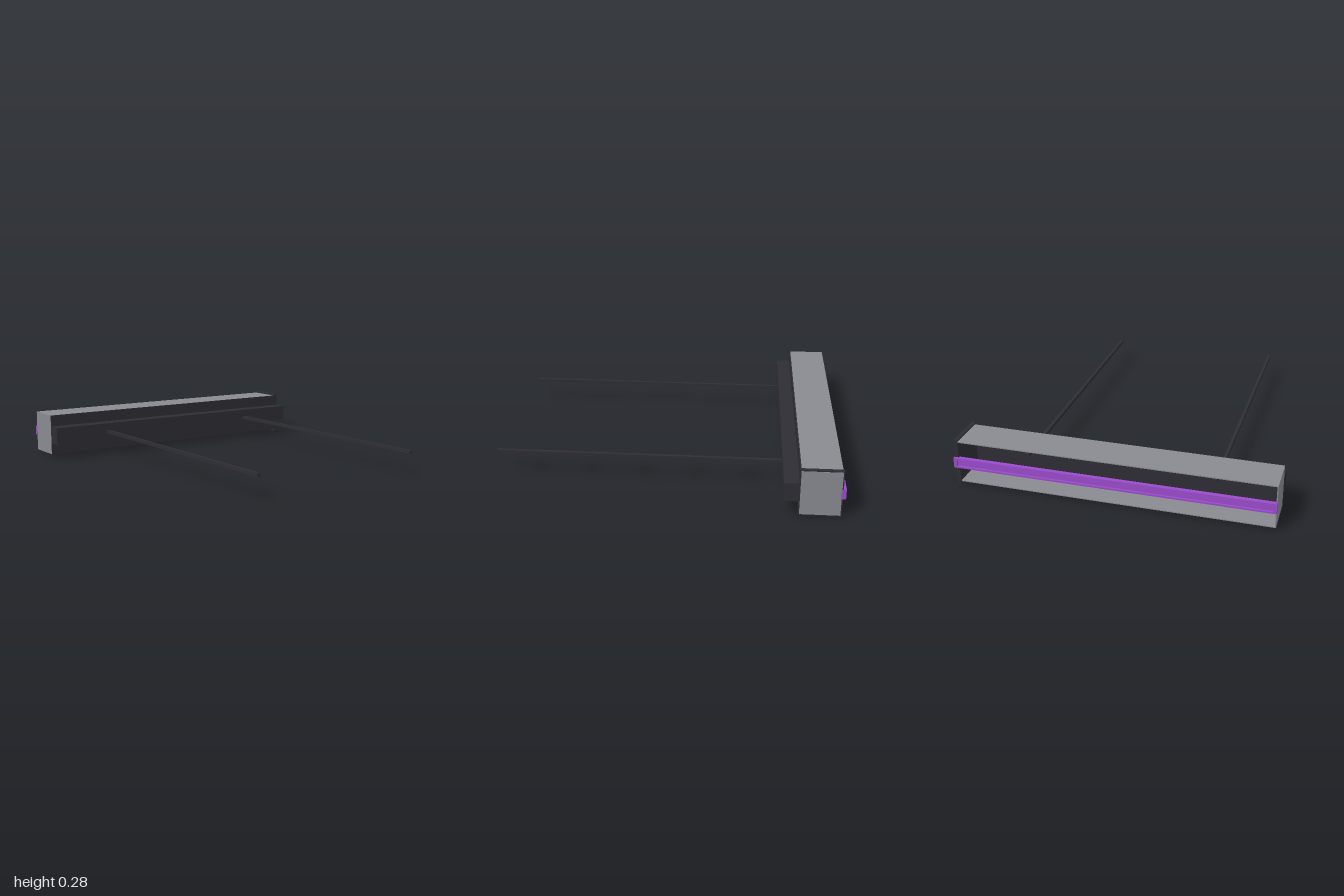
import * as THREE from 'three';

const grey = new THREE.MeshStandardMaterial({ color: 0x888a91 });
grey.name = 'grey panel';
const dark = new THREE.MeshStandardMaterial({ color: 0x2e2d35 });
dark.name = 'dark frame';
const purple = new THREE.MeshStandardMaterial({ color: 0x9a4bcc });
purple.name = 'purple strip';

// Box given by its minimum and maximum on each axis
function box(parent, name, material, [x0, x1], [y0, y1], [z0, z1]) {
  const mesh = new THREE.Mesh(new THREE.BoxGeometry(x1 - x0, y1 - y0, z1 - z0), material);
  mesh.position.set((x0 + x1) / 2, (y0 + y1) / 2, (z0 + z1) / 2);
  mesh.name = name;
  parent.add(mesh);
}

export function createModel() {
  const model = new THREE.Group();
  model.name = 'wallShelf';

  // Hollow housing, open at the back
  const housing = new THREE.Group();
  housing.name = 'housing';
  model.add(housing);
  const depth = [-0.979, -0.756];
  box(housing, 'topPanel', grey, [-0.915, 0.89], [0.26, 0.266], depth);
  box(housing, 'bottomPanel', grey, [-0.915, 0.89], [0.012, 0.018], depth);
  box(housing, 'leftEndPanel', grey, [-0.915, -0.909], [0.018, 0.26], depth);
  box(housing, 'frontWall', dark, [-0.915, 0.89], [0.012, 0.266], [-0.756, -0.75]);
  box(housing, 'innerWall', dark, [-0.909, 0.89], [0.018, 0.26], [-0.76, -0.756]);

  // Rimmed end cap with a plain outer plate
  const cap = new THREE.Group();
  cap.name = 'endCap';
  model.add(cap);
  box(cap, 'capRim', dark, [0.89, 0.912], [0, 0.277], [-0.984, -0.747]);
  box(cap, 'capPlate', grey, [0.912, 0.915], [0.007, 0.27], [-0.977, -0.754]);

  // Mounting rail along the front
  box(model, 'frontRail', dark, [-0.915, 0.915], [0.086, 0.195], [-0.75, -0.665]);

  // Long square rods passing through the rail
  for (const x of [-0.55, 0.55]) {
    box(model, 'rod', dark, [x - 0.01, x + 0.01], [0.13, 0.15], [-0.81, 1]);
  }

  // Shallow tray strip across the open back
  const strip = new THREE.Group();
  strip.name = 'backStrip';
  model.add(strip);
  box(strip, 'stripWeb', purple, [-0.916, 0.916], [0.11, 0.17], [-0.988, -0.974]);
  for (const y of [0.11, 0.16]) {
    box(strip, 'stripFlange', purple, [-0.916, 0.916], [y, y + 0.01], [-1, -0.988]);
  }
  for (const x of [-0.916, 0.896]) {
    box(strip, 'stripEnd', purple, [x, x + 0.02], [0.12, 0.16], [-1, -0.988]);
  }
  return model;
}
